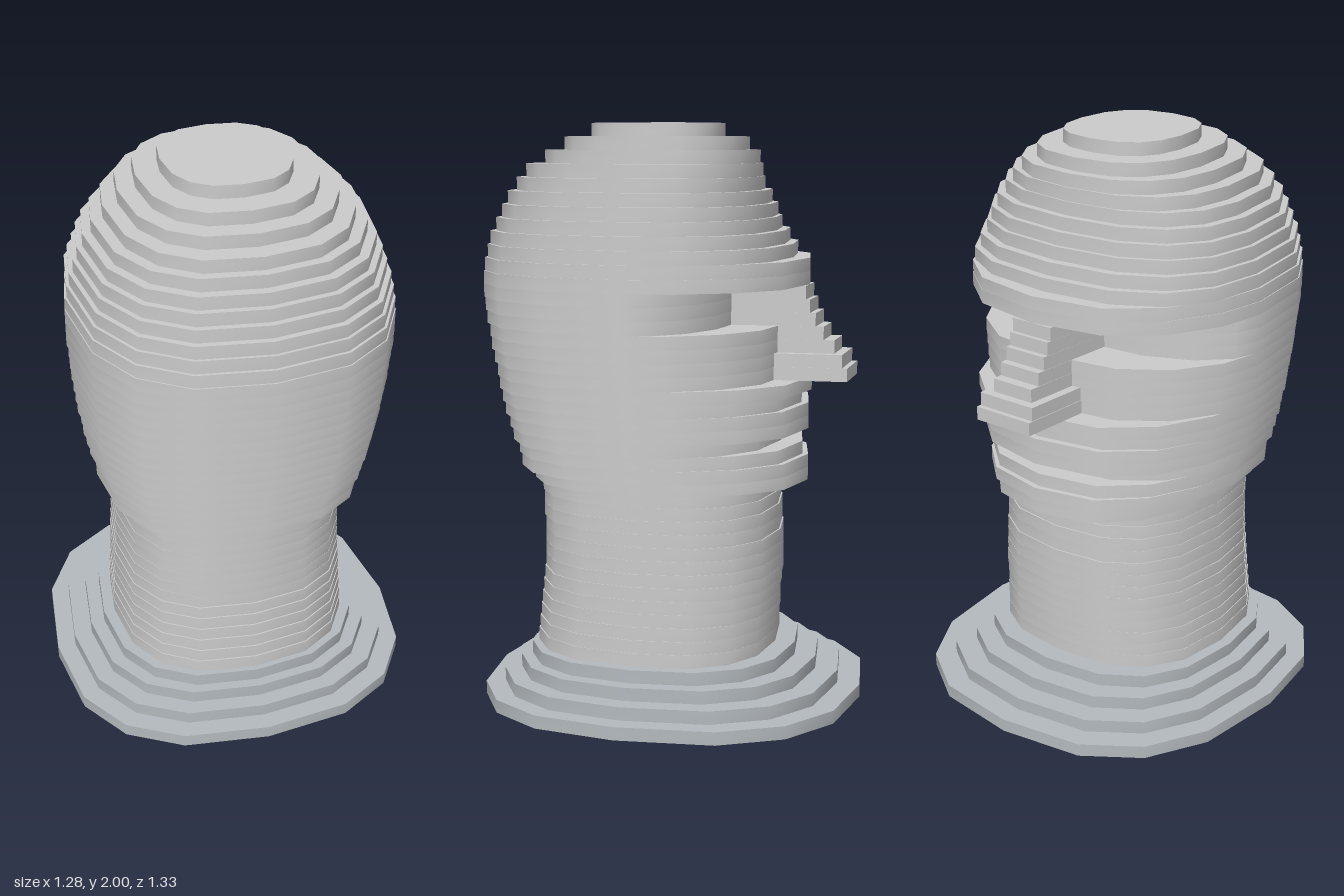
import * as THREE from 'three';
import { toCreasedNormals } from 'three/addons/utils/BufferGeometryUtils.js';

const H = 2 / 44;   // thickness of one layer
const ZC = 0.055;   // depth at which every layer is widest

// one slab: 16-sided rounded outline; the face (-z) and back (+z) have their own depths
function slabGeometry(half, front, back, facePower) {
  const g = new THREE.CylinderGeometry(1, 1, H, 16);
  const p = g.attributes.position;
  const bend = (v, power) => Math.sign(v) * Math.abs(v) ** power;
  for (let i = 0; i < p.count; i++) {
    const x = p.getX(i), z = p.getZ(i);
    p.setX(i, half * bend(x, 0.79));
    p.setZ(i, ZC + (z < 0 ? (ZC - front) * -1 * bend(-z, facePower) : (back - ZC) * bend(z, 0.79)));
  }
  return toCreasedNormals(g, 0.7);
}

// rows of [half width, front z, back z], from the bottom up
const base = [
  [0.64, -0.66, 0.665], [0.575, -0.58, 0.60], [0.51, -0.50, 0.545], [0.46, -0.425, 0.51],
];
const neck = [
  [0.42, -0.355, 0.49], [0.418, -0.355, 0.485], [0.415, -0.36, 0.48], [0.412, -0.36, 0.475],
  [0.41, -0.365, 0.47], [0.408, -0.37, 0.465], [0.405, -0.37, 0.46], [0.402, -0.37, 0.46],
  [0.40, -0.37, 0.46], [0.398, -0.365, 0.46], [0.396, -0.365, 0.465], [0.394, -0.36, 0.465],
  [0.393, -0.355, 0.47],
];
const face = [
  [0.42, -0.465, 0.495], [0.46, -0.465, 0.54],                            // chin
  [0.46, -0.445, 0.55], [0.48, -0.37, 0.57],                              // below lip
  [0.49, -0.465, 0.58], [0.50, -0.465, 0.595],                            // lower lip
  [0.505, -0.44, 0.605], [0.515, -0.475, 0.615],                          // upper lip
  [0.52, -0.385, 0.62], [0.525, -0.385, 0.63], [0.53, -0.385, 0.64], [0.533, -0.385, 0.645], // cheeks
  [0.535, -0.22, 0.655], [0.54, -0.22, 0.66], [0.54, -0.22, 0.665],       // eye hollows
  [0.54, -0.465, 0.665], [0.537, -0.465, 0.66],                           // brow
];
const skull = [
  [0.53, -0.405, 0.65], [0.52, -0.375, 0.64], [0.505, -0.345, 0.62], [0.49, -0.33, 0.60],
  [0.47, -0.31, 0.58], [0.44, -0.285, 0.55], [0.40, -0.28, 0.52], [0.35, -0.275, 0.455],
  [0.29, -0.24, 0.39], [0.21, -0.155, 0.30],
];

// rows of [tip z, half width]
const nose = [
  [-0.615, 0.112], [-0.597, 0.11], [-0.565, 0.08], [-0.528, 0.08],
  [-0.50, 0.08], [-0.48, 0.08], [-0.465, 0.08],
];

// wedge-shaped nose step, a little wider where it joins the face
function noseGeometry(tip, half) {
  const root = -0.18;
  const g = new THREE.BoxGeometry(2, H, root - tip);
  const p = g.attributes.position;
  for (let i = 0; i < p.count; i++) p.setX(i, p.getX(i) * (p.getZ(i) > 0 ? half + 0.02 : half));
  g.translate(0, 0, (root + tip) / 2);
  g.computeVertexNormals();
  return g;
}

export function createModel() {
  const model = new THREE.Group();
  model.name = 'layeredHead';
  const grey = new THREE.MeshStandardMaterial({ color: 0xcccccc });
  const baseGrey = new THREE.MeshStandardMaterial({ color: 0xb4babe });

  function stack(name, first, geometries, material) {
    const group = new THREE.Group();
    group.name = name;
    geometries.forEach((g, i) => {
      const mesh = new THREE.Mesh(g, material);
      mesh.name = `${name}Layer${i + 1}`;
      mesh.position.y = (first + i + 0.5) * H;
      group.add(mesh);
    });
    model.add(group);
  }

  const slabs = (rows, power) => rows.map(([w, f, b]) => slabGeometry(w, f, b, power));
  stack('base', 0, slabs(base, 0.79), baseGrey);
  stack('neck', 4, slabs(neck, 0.79), grey);
  stack('face', 17, slabs(face, 1.15), grey);
  stack('skull', 34, slabs(skull, 0.85), grey);
  stack('nose', 25, nose.map(([t, w]) => noseGeometry(t, w)), grey);
  return model;
}
